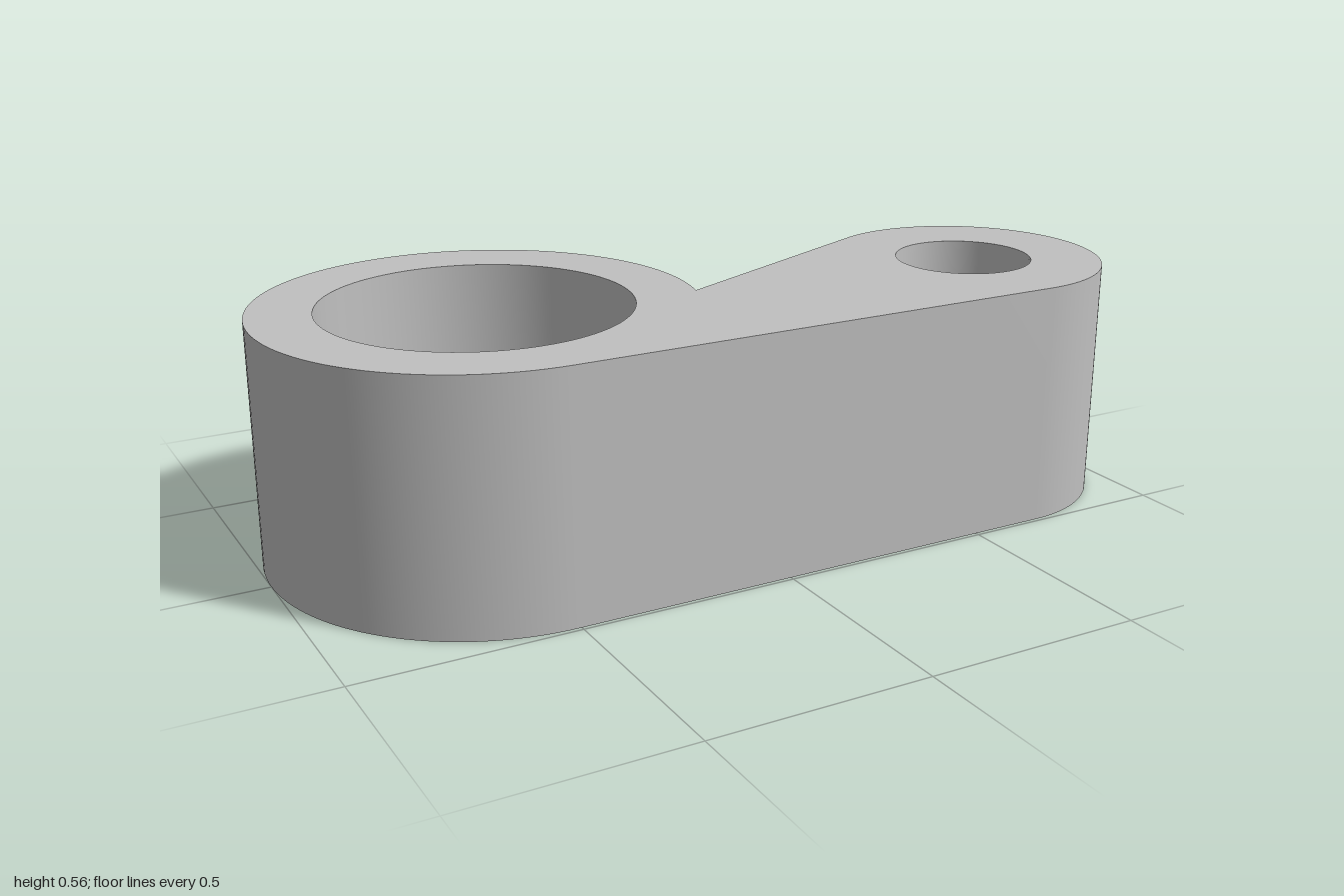
import * as THREE from 'three';
import { toCreasedNormals } from 'three/addons/utils/BufferGeometryUtils.js';

const HEIGHT = 0.56;
const RING = { x: -0.509, y: 0, r: 0.491, hole: 0.347 };
const EYE = { x: 0.675, y: -0.166, r: 0.325, hole: 0.16 };

function addHole(shape, c) {
  const hole = new THREE.Path();
  hole.absarc(c.x, c.y, c.hole, 0, Math.PI * 2, true);
  shape.holes.push(hole);
}

export function createModel() {
  const group = new THREE.Group();
  group.name = 'linkArm';
  const grey = new THREE.MeshStandardMaterial({ color: 0xc0c0c0 });
  grey.name = 'plain grey';

  // Outline: large ring, straight front flank, small eye, sloped rear flank into the notch
  const outline = new THREE.Shape();
  outline.absarc(RING.x, RING.y, RING.r, -0.258, Math.PI * 1.5, false);
  outline.absarc(EYE.x, EYE.y, EYE.r, -Math.PI / 2, 1.991, false);
  outline.closePath();

  // Through holes
  addHole(outline, RING);
  addHole(outline, EYE);

  // Extruded body, laid flat on the ground
  const body = new THREE.ExtrudeGeometry(outline, {
    depth: HEIGHT, bevelEnabled: false, curveSegments: 48,
  });
  body.rotateX(-Math.PI / 2);

  const mesh = new THREE.Mesh(toCreasedNormals(body, 0.5), grey);
  mesh.name = 'linkBody';
  group.add(mesh);
  return group;
}
